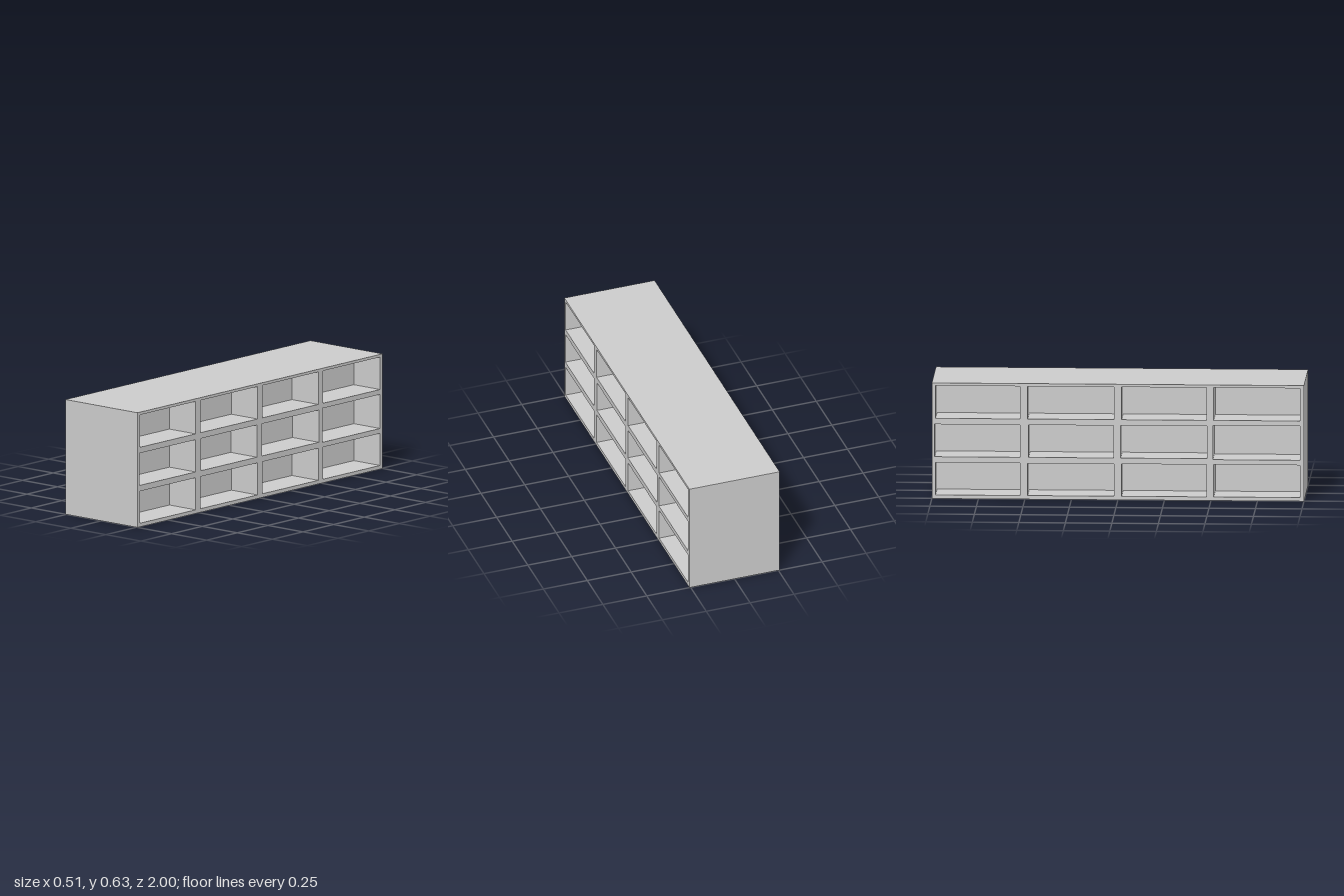
import * as THREE from 'three';

const H = 0.63, HALF_DEPTH = 0.257, CORE = 0.07;

// Compartment openings as [u0, u1, v0, v1], u running left to right along the open side
function openings() {
  const outer = [[-0.98, -0.525], [-0.485, -0.02], [0.02, 0.475], [0.515, 0.98]];
  const middle = [[-0.985, -0.525], [-0.48, -0.025], [0.015, 0.48], [0.51, 0.98]];
  const cells = [];
  for (let c = 0; c < 4; c++) {
    cells.push([...outer[c], 0.02, 0.196]);
    cells.push([...middle[c], c === 3 ? 0.223 : 0.228, c === 3 ? 0.41 : 0.405]);
    cells.push([...outer[c], 0.437, 0.615]);
  }
  return cells;
}

function rectangle(path, u0, u1, v0, v1) {
  path.moveTo(u0, v0);
  path.lineTo(u1, v0);
  path.lineTo(u1, v1);
  path.lineTo(u0, v1);
  path.closePath();
  return path;
}

export function createModel() {
  const group = new THREE.Group();
  group.name = 'doubleSidedShelf';
  const material = new THREE.MeshStandardMaterial({ color: 0xcccccc });

  // Solid divider between the two open sides
  const core = new THREE.Mesh(new THREE.BoxGeometry(2 * CORE, H, 2), material);
  core.name = 'centrePanel';
  core.position.y = H / 2;
  group.add(core);

  // Grid of shelves and uprights, the same on both long sides
  const shape = rectangle(new THREE.Shape(), -1, 1, 0, H);
  for (const cell of openings()) shape.holes.push(rectangle(new THREE.Path(), ...cell));
  const grid = new THREE.ExtrudeGeometry(shape, { depth: HALF_DEPTH - CORE, bevelEnabled: false });
  grid.translate(0, 0, CORE);
  for (const [name, side] of [['leftShelfGrid', 1], ['rightShelfGrid', -1]]) {
    const mesh = new THREE.Mesh(grid, material);
    mesh.name = name;
    mesh.rotation.y = side * Math.PI / 2;
    group.add(mesh);
  }
  return group;
}
